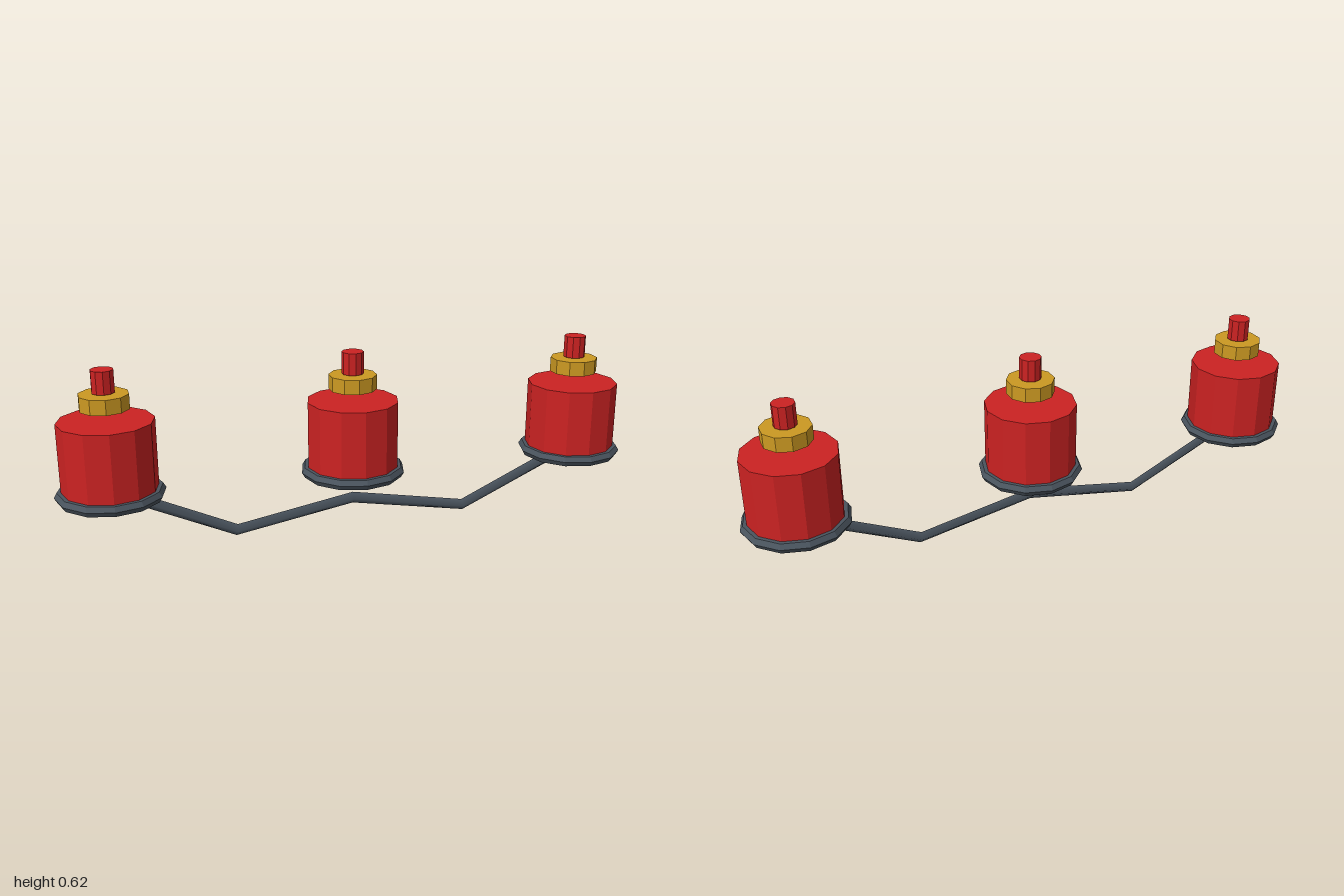
import * as THREE from 'three';

const red = new THREE.MeshStandardMaterial({ color: 0xcc2222 });
red.name = 'red';
const gold = new THREE.MeshStandardMaterial({ color: 0xcc9922 });
gold.name = 'gold';
const steel = new THREE.MeshStandardMaterial({ color: 0x4a545e });
steel.name = 'darkSteel';

// Gives every facet its own flat normal
function faceted(geometry) {
  const flat = geometry.toNonIndexed();
  flat.computeVertexNormals();
  return flat;
}

function part(name, geometry, material, y = 0) {
  const mesh = new THREE.Mesh(geometry, material);
  mesh.name = name;
  mesh.position.y = y;
  return mesh;
}

// Upright faceted cylinder between two heights
function drum(name, radius, bottom, top, sides, material) {
  const geometry = faceted(new THREE.CylinderGeometry(radius, radius, top - bottom, sides));
  return part(name, geometry, material, (bottom + top) / 2);
}

// Straight runs between points, with one tube ring at each corner
class Polyline extends THREE.Curve {
  constructor(points) {
    super();
    this.points = points;
  }
  getPoint(t, target = new THREE.Vector3()) {
    const runs = this.points.length - 1;
    const i = Math.min(Math.floor(t * runs), runs - 1);
    return target.lerpVectors(this.points[i], this.points[i + 1], t * runs - i);
  }
  getPointAt(t, target) {
    return this.getPoint(t, target);
  }
  getTangentAt(t, target) {
    return this.getTangent(t, target);
  }
}

function createUnit(name, x) {
  const unit = new THREE.Group();
  unit.name = name;
  unit.position.x = x;
  const ring = faceted(new THREE.TorusGeometry(0.16, 0.02, 6, 12).rotateX(Math.PI / 2));
  unit.add(
    drum('body', 0.157, 0.18, 0.448, 12, red),
    part('baseRing', ring, steel, 0.201),
    drum('collar', 0.082, 0.487, 0.537, 10, gold),
    drum('pin', 0.0375, 0.541, 0.616, 10, red),
  );
  return unit;
}

export function createModel() {
  const model = new THREE.Group();
  model.name = 'linkedCanisters';

  // Three identical canisters in a row
  model.add(createUnit('rightCanister', -0.82));
  model.add(createUnit('middleCanister', 0));
  model.add(createUnit('leftCanister', 0.82));

  // Bent four-sided rod joining them underneath
  const path = new Polyline([
    [-0.82, 0.207], [-0.41, 0.02], [0, 0.093], [0.41, 0.02], [0.82, 0.207],
  ].map(([x, y]) => new THREE.Vector3(x, y, 0)));
  model.add(part('connectingRod', new THREE.TubeGeometry(path, 4, 0.02, 4), steel));

  return model;
}
